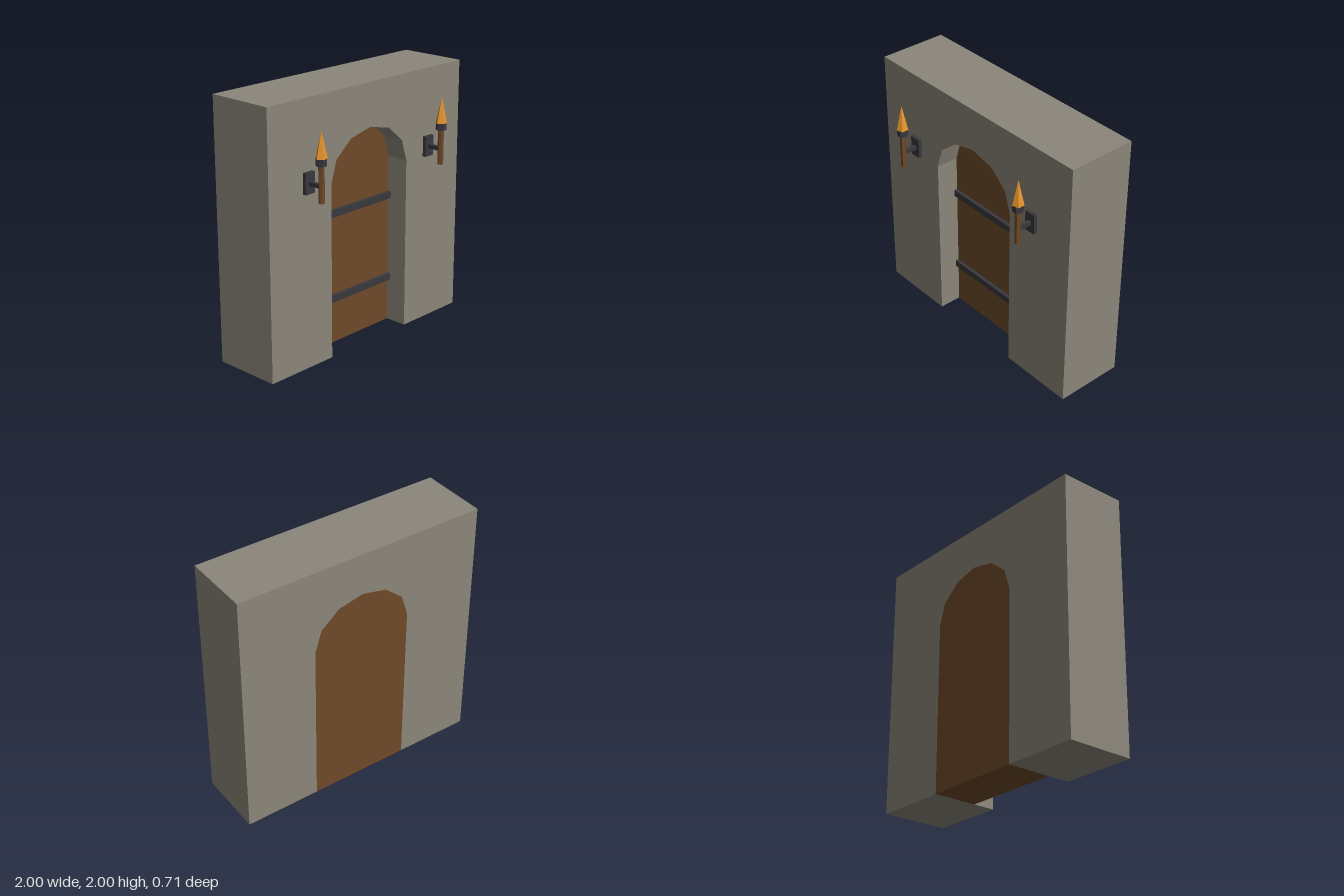
import * as THREE from 'three';

const material = (color) => new THREE.MeshStandardMaterial({ color, flatShading: true });
const stone = material(0x8c867a);
const wood = material(0x6e4a2a);
const iron = material(0x38383e);
const fire = material(0xe8952a);

const BACK = -0.356, FRONT = 0.178;

function add(parent, name, geometry, mat, x = 0, y = 0, z = 0) {
  const mesh = new THREE.Mesh(geometry, mat);
  mesh.name = name;
  mesh.position.set(x, y, z);
  parent.add(mesh);
  return mesh;
}

// Doorway outline, from its left foot over the six-sided arch to its right foot
function doorway() {
  const points = [new THREE.Vector2(0.4, 0)];
  for (let i = 0; i <= 6; i++) {
    const a = (i / 6) * Math.PI;
    points.push(new THREE.Vector2(0.4 * Math.cos(a), 1.333 + 0.337 * Math.sin(a)));
  }
  points.push(new THREE.Vector2(-0.4, 0));
  return points;
}

function slab(points, depth) {
  return new THREE.ExtrudeGeometry(new THREE.Shape(points), { depth, bevelEnabled: false });
}

// Wall torch; the origin is on the wall face at the bracket's height
function torch() {
  const group = new THREE.Group();
  group.name = 'torch';
  add(group, 'wallPlate', new THREE.BoxGeometry(0.09, 0.156, 0.027), iron, 0, 0, 0.0135);
  add(group, 'bracketArm', new THREE.BoxGeometry(0.03, 0.03, 0.11), iron, 0, 0, 0.075);

  const stick = new THREE.Group();
  stick.name = 'torchStick';
  stick.position.z = 0.135;
  stick.rotation.y = -Math.PI / 2;
  group.add(stick);
  add(stick, 'handle', new THREE.CylinderGeometry(0.0225, 0.0225, 0.267, 6), wood, 0, 0.013, 0);
  add(stick, 'collar', new THREE.CylinderGeometry(0.04, 0.04, 0.053, 6), iron, 0, 0.173, 0);
  add(stick, 'flame', new THREE.ConeGeometry(0.0445, 0.196, 5), fire, 0, 0.297, 0);
  return group;
}

export function createModel() {
  const model = new THREE.Group();
  model.name = 'archedDoorway';

  // Wall with the arched opening cut up from the ground
  const wall = [
    new THREE.Vector2(1, 0), new THREE.Vector2(1, 2),
    new THREE.Vector2(-1, 2), new THREE.Vector2(-1, 0),
    ...doorway().reverse(),
  ];
  add(model, 'wall', slab(wall, FRONT - BACK), stone, 0, 0, BACK);

  // Door, flush at the back and recessed at the front
  add(model, 'door', slab(doorway(), -BACK), wood, 0, 0, BACK);

  // Iron straps across the door
  for (const y of [0.362, 1.03]) {
    add(model, 'doorStrap', new THREE.BoxGeometry(0.8, 0.053, 0.027), iron, 0, y, 0.0135);
  }

  // Torches either side of the door
  for (const side of [-1, 1]) {
    const light = torch();
    light.position.set(side * 0.633, 1.402, FRONT);
    model.add(light);
  }
  return model;
}
